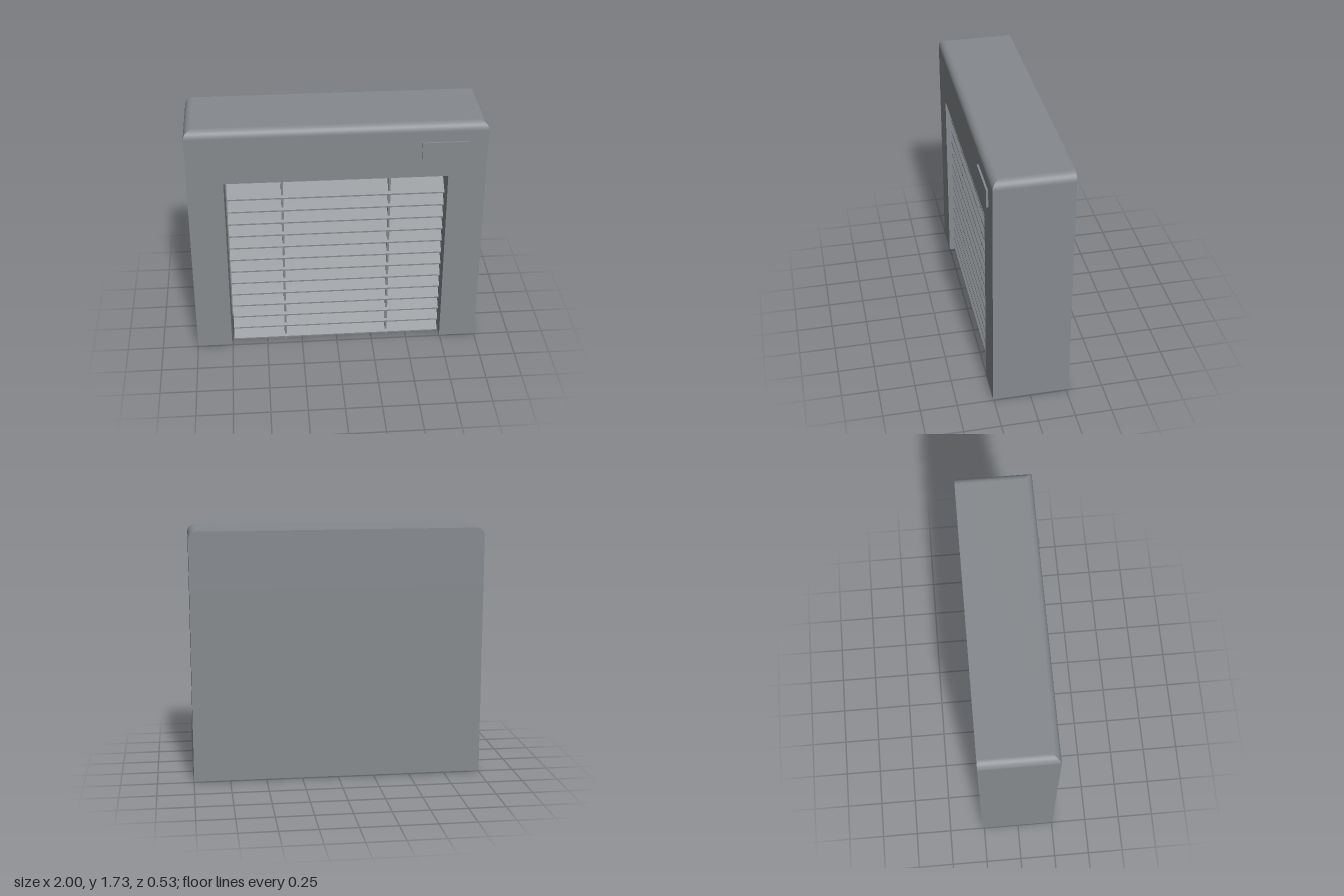
import * as THREE from 'three';

const grey = new THREE.MeshStandardMaterial({ color: 0x868a8e });
grey.name = 'housing grey';

const BACK = -0.265, FRONT = 0.255, BASE = 0.01, TOP = 1.73, R = 0.055;
const OPEN_L = -0.755, OPEN_R = 0.745, OPEN_TOP = 1.34, RECESS = -0.1;

function add(parent, name, geometry, x = 0, y = 0, z = 0) {
  const mesh = new THREE.Mesh(geometry, grey);
  mesh.name = name;
  mesh.position.set(x, y, z);
  parent.add(mesh);
  return mesh;
}

function polygon(points) {
  return new THREE.Shape(points.map(([a, b]) => new THREE.Vector2(a, b)));
}

// Extrudes a (z, y) profile along x, centred on x = 0
function crossBar(points, width) {
  const g = new THREE.ExtrudeGeometry(polygon(points), { depth: width, bevelEnabled: false });
  g.translate(0, 0, -width / 2);
  g.rotateY(-Math.PI / 2);
  return g;
}

// Upper housing: rectangles stacked in y, drawn in at the top, with mitred rounded edges
function hoodGeometry() {
  const rows = [{ y: OPEN_TOP, t: 0 }];
  for (let i = 0; i <= 10; i++) {
    const t = (i / 10) * Math.PI / 2;
    rows.push({ y: TOP - R + R * Math.sin(t), t });
  }
  const corners = ({ y, t }) => {
    const inset = R * (1 - Math.cos(t));
    const w = 1 - inset, f = FRONT - inset;
    return [[-w, y, f], [w, y, f], [w, y, BACK], [-w, y, BACK]];
  };
  const outward = [[0, 1], [1, 0], [0, -1], [-1, 0]];
  const pos = [], nor = [], idx = [];
  const quad = (points, normals) => {
    const n = pos.length / 3;
    points.forEach((p) => pos.push(...p));
    normals.forEach((p) => nor.push(...p));
    idx.push(n, n + 1, n + 2, n, n + 2, n + 3);
  };
  for (let i = 0; i + 1 < rows.length; i++) {
    const lo = corners(rows[i]), hi = corners(rows[i + 1]);
    outward.forEach(([nx, nz], s) => {
      const e = (s + 1) % 4;
      const normal = (t) => (s === 2 ? [0, 0, -1] : [nx * Math.cos(t), Math.sin(t), nz * Math.cos(t)]);
      const a = normal(rows[i].t), b = normal(rows[i + 1].t);
      quad([lo[s], lo[e], hi[e], hi[s]], [a, a, b, b]);
    });
  }
  quad(corners(rows[rows.length - 1]), Array(4).fill([0, 1, 0]));
  quad(corners(rows[0]).reverse(), Array(4).fill([0, -1, 0]));
  const g = new THREE.BufferGeometry();
  g.setAttribute('position', new THREE.Float32BufferAttribute(pos, 3));
  g.setAttribute('normal', new THREE.Float32BufferAttribute(nor, 3));
  g.setIndex(idx);
  return g;
}

// Lower housing: U-shaped plan around the recess, open at the front and underneath
function lowerGeometry() {
  const plan = [
    [-1, FRONT], [OPEN_L, FRONT], [OPEN_L, RECESS], [OPEN_R, RECESS],
    [OPEN_R, FRONT], [1, FRONT], [1, BACK], [-1, BACK],
  ].map(([x, z]) => [x, -z]);
  const g = new THREE.ExtrudeGeometry(polygon(plan), { depth: OPEN_TOP - BASE, bevelEnabled: false });
  g.rotateX(-Math.PI / 2);
  g.translate(0, BASE, 0);
  return g;
}

export function createModel() {
  const model = new THREE.Group();
  model.name = 'louvredVentCover';

  const housing = new THREE.Group();
  housing.name = 'housing';
  add(housing, 'upperHousing', hoodGeometry());
  add(housing, 'lowerHousing', lowerGeometry());
  model.add(housing);

  // Raised plate at the upper corner
  add(model, 'badgePlate', new THREE.BoxGeometry(0.31, 0.12, 0.014), 0.717, 1.54, FRONT + 0.006);

  // Sloping slats with two rows of webs between them
  const louvre = new THREE.Group();
  louvre.name = 'louvre';
  model.add(louvre);
  const slat = crossBar([[0.22, 0], [0.22, 0.01], [0.09, 0.12], [0.09, 0.11]], 1.47);
  const web = crossBar([[0.205, 0.02], [0.21, 0.105], [0.195, 0.14], [0.09, 0.14], [0.09, 0.118]], 0.015);
  const footWeb = crossBar([[0.21, 0], [0.21, 0.035], [0.125, 0.105], [0.13, 0]], 0.015);
  const topWeb = crossBar([[0.205, 0.02], [0.21, 0.155], [0.09, 0.155], [0.09, 0.118]], 0.015);
  const webX = [-0.367, 0.358];
  const count = 13, lowest = 0.025, pitch = (1.187 - lowest) / (count - 1);
  for (let i = 0; i < count; i++) {
    const y = lowest + i * pitch;
    add(louvre, 'slat', slat, -0.003, y);
    for (const x of webX) add(louvre, 'slatWeb', i === count - 1 ? topWeb : web, x, y);
  }
  for (const x of webX) add(louvre, 'footWeb', footWeb, x, 0);

  return model;
}
